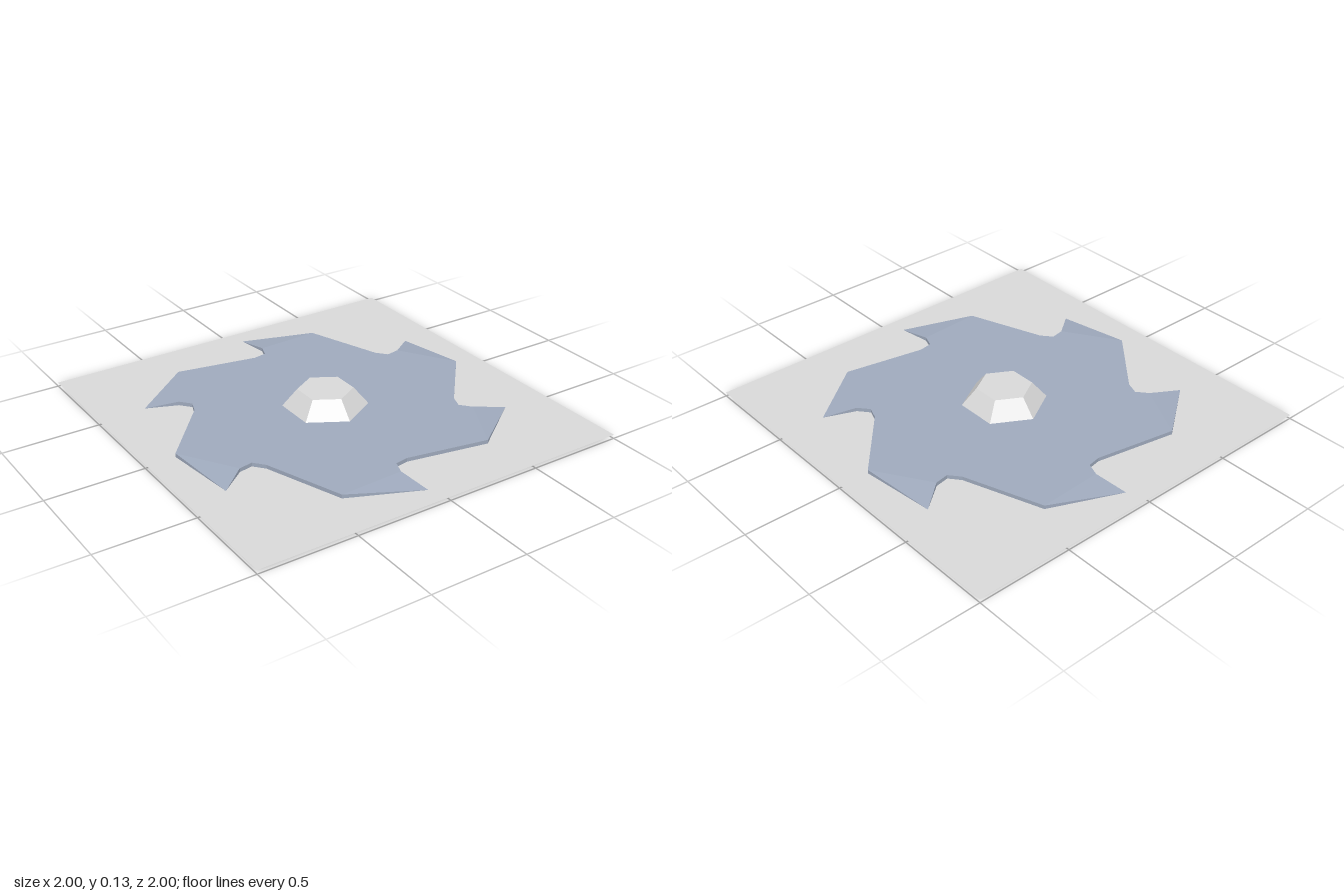
import * as THREE from 'three';

const TEETH = 6;
const THICK = 0.04;

// One tooth in plan (x, y with y pointing to the back); repeated around the centre
const ROOT = [0.075, 0.73];
const SHOULDER = [0.41, 0.745];
const TIP = [0.05, 0.9];
const GULLET = [[-0.02, 0.65], [0.05, 0.662]];

// Flat body of the blade, without the sharpened tips
function bladeBody() {
  const points = [];
  for (let k = 0; k < TEETH; k++) {
    for (const [x, y] of [...GULLET, ROOT, SHOULDER]) {
      points.push(new THREE.Vector2(x, y).rotateAround(new THREE.Vector2(), -k * Math.PI * 2 / TEETH));
    }
  }
  const geometry = new THREE.ExtrudeGeometry(new THREE.Shape(points), { depth: THICK, bevelEnabled: false });
  return geometry.rotateX(-Math.PI / 2);
}

// Wedge that narrows from the full blade thickness to a point
function toothTip() {
  const at = ([x, y], h) => [x, h, -y];
  const rootTop = at(ROOT, THICK), rootLow = at(ROOT, 0);
  const shoulderTop = at(SHOULDER, THICK), shoulderLow = at(SHOULDER, 0);
  const tip = at(TIP, THICK / 2);
  const faces = [
    rootTop, shoulderTop, tip,
    rootLow, tip, shoulderLow,
    rootLow, rootTop, tip,
    shoulderTop, shoulderLow, tip,
  ];
  const geometry = new THREE.BufferGeometry();
  geometry.setAttribute('position', new THREE.Float32BufferAttribute(faces.flat(), 3));
  geometry.computeVertexNormals();
  return geometry;
}

export function createModel() {
  const model = new THREE.Group();
  model.name = 'sawBlade';

  const steel = new THREE.MeshStandardMaterial({ name: 'blue steel', color: 0x9faabd, flatShading: true });
  const grey = new THREE.MeshStandardMaterial({ name: 'light grey', color: 0xd9d9d9, flatShading: true, side: THREE.DoubleSide });

  const add = (name, geometry, material, y = 0) => {
    const mesh = new THREE.Mesh(geometry, material);
    mesh.name = name;
    mesh.position.y = y;
    model.add(mesh);
    return mesh;
  };

  // Thin square sheet through the middle of the blade
  add('baseSheet', new THREE.PlaneGeometry(2, 2).rotateX(-Math.PI / 2), grey, THICK / 2);

  // Blade and its six sharpened teeth
  add('blade', bladeBody(), steel);
  const tipGeometry = toothTip();
  for (let k = 0; k < TEETH; k++) {
    add(`toothTip${k + 1}`, tipGeometry, steel).rotation.y = k * Math.PI * 2 / TEETH;
  }

  // Tapered hexagonal hub
  add('hub', new THREE.CylinderGeometry(0.14, 0.215, 0.09, 6), grey, THICK + 0.045);

  return model;
}
